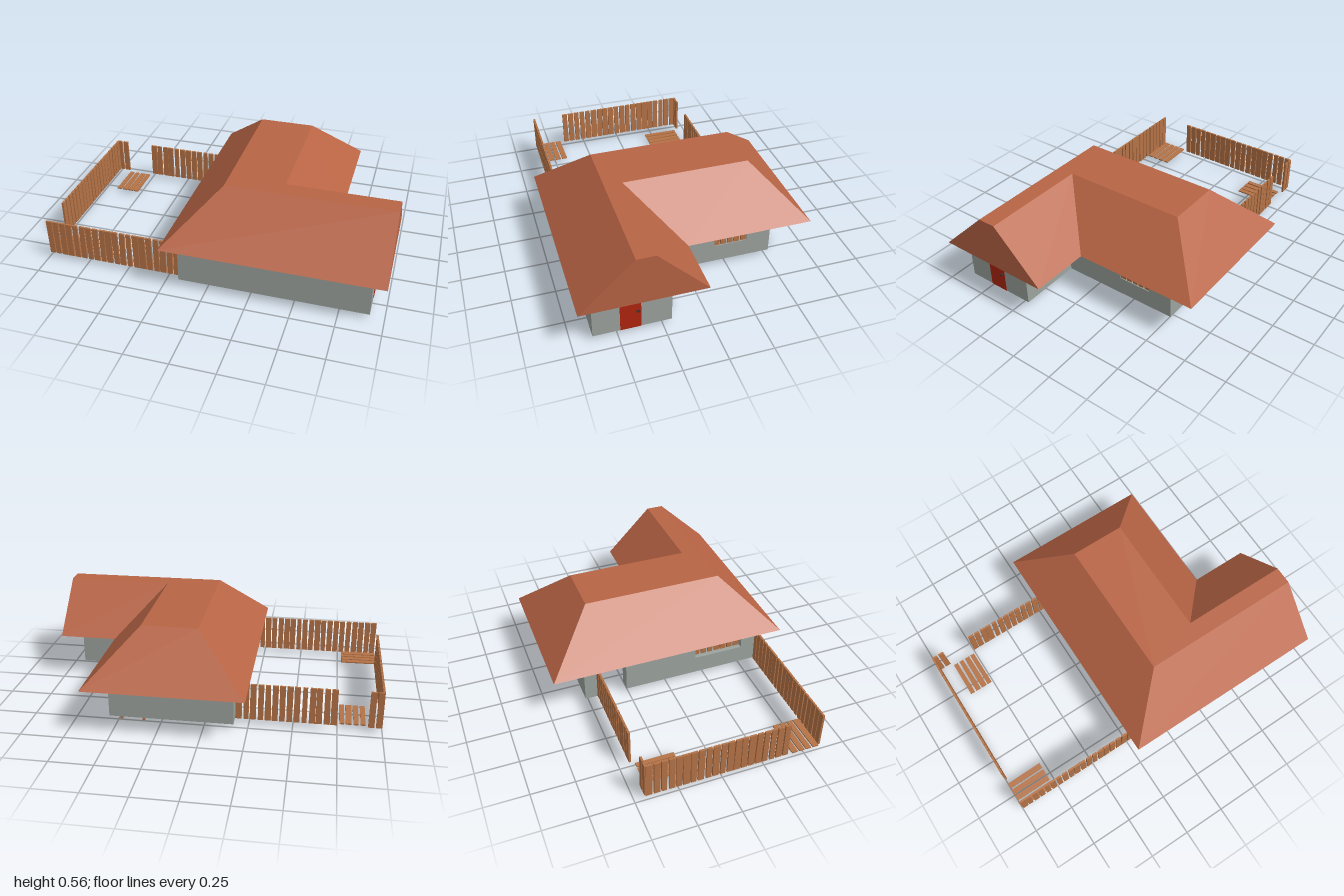
import * as THREE from 'three';

const paint = (color) => new THREE.MeshStandardMaterial({ color, flatShading: true, side: THREE.DoubleSide });
const wallMat = paint(0x9ca39e), roofMat = paint(0xb86444), woodMat = paint(0xb57346);
const doorMat = paint(0xb02510), darkMat = paint(0x333333);

const BASE = 0.03, WALL_TOP = 0.35, THICK = 0.07;

let seed = 7;
const rand = () => (seed = (seed * 16807) % 2147483647) / 2147483647;

const outline = (pts) => pts.map(([x, y]) => new THREE.Vector2(x, y));
const rect = (u0, y0, u1, y1) => outline([[u0, y0], [u1, y0], [u1, y1], [u0, y1]]);

function addMesh(parent, name, geometry, material) {
  const mesh = new THREE.Mesh(geometry, material);
  mesh.name = name;
  parent.add(mesh);
  return mesh;
}

function addBox(parent, name, size, pos, material) {
  const mesh = addMesh(parent, name, new THREE.BoxGeometry(...size), material);
  mesh.position.set(...pos);
  return mesh;
}

// Wall from u0 to u1; openings are [u0, y0, u1, y1], those at the base become doorways
function addWall(parent, name, u0, u1, openings = []) {
  const edge = [[u0, BASE]], holes = [];
  for (const [a, y0, b, y1] of openings) {
    if (y0 > BASE) holes.push(new THREE.Path(rect(a, y0, b, y1)));
    else edge.push([a, BASE], [a, y1], [b, y1], [b, BASE]);
  }
  edge.push([u1, BASE], [u1, WALL_TOP], [u0, WALL_TOP]);
  const shape = new THREE.Shape(outline(edge));
  shape.holes = holes;
  return addMesh(parent, name, new THREE.ExtrudeGeometry(shape, { depth: THICK, bevelEnabled: false }), wallMat);
}

// Row of crooked, uneven planks along local x, standing on local y = 0
function planks(name, length, height, count, depth = 0.012) {
  const group = new THREE.Group();
  group.name = name;
  const pitch = length / count;
  for (let i = 0; i < count; i++) {
    const inset = () => pitch * (0.01 + 0.17 * rand());
    const l = i * pitch, r = l + pitch;
    const shape = new THREE.Shape(outline([
      [l + inset(), 0], [r - inset(), 0], [r - inset(), height], [l + inset(), height],
    ]));
    addMesh(group, 'plank', new THREE.ExtrudeGeometry(shape, { depth, bevelEnabled: false }), woodMat);
  }
  return group;
}

function place(parent, object, pos, rot = [0, 0, 0]) {
  object.position.set(...pos);
  object.rotation.set(...rot);
  parent.add(object);
}

// Hipped L-shaped roof shell with a flat ridge and one gable end
function roofGeometry() {
  const E = 0.275, T = 0.565;
  const p = {
    a: [-0.255, E, 0.718], b: [1, E, 0.718], c: [1, T, 0.415], d: [1, T, 0.31],
    e: [1, E, 0.02], f: [0.655, E, 0.02], g: [0.655, E, -0.718], h: [-0.255, E, -0.718],
    i: [0.04, T, 0.415], j: [0.04, T, -0.43], k: [0.365, T, -0.43], l: [0.365, T, 0.31],
  };
  const quads = ['abci', 'haij', 'ghjk', 'fgkl', 'efld', 'icdl', 'ilkj', 'bedc'];
  const pos = quads.flatMap((q) => [0, 1, 2, 0, 2, 3].flatMap((n) => p[q[n]]));
  const geo = new THREE.BufferGeometry();
  geo.setAttribute('position', new THREE.Float32BufferAttribute(pos, 3));
  geo.computeVertexNormals();
  return geo;
}

export function createModel() {
  seed = 7;
  const model = new THREE.Group();
  model.name = 'house';
  const quarter = Math.PI / 2;

  // Walls running along x
  const walls = new THREE.Group();
  walls.name = 'walls';
  model.add(walls);
  addWall(walls, 'frontWall', -0.17, 0.92).position.z = 0.635 - THICK;
  addWall(walls, 'wingBackWall', 0.55 - THICK, 0.92).position.z = 0.2;
  addWall(walls, 'backWall', -0.17, 0.55).position.z = -0.52;

  // Walls running along z, with windows and doorways
  const sideWalls = [
    ['rightMainWall', -0.45, 0.2, 0.55, [[-0.375, 0.14, -0.175, 0.3]]],
    ['wingEndWall', 0.27, 0.565, 0.92, [[0.37, BASE, 0.485, 0.255]]],
    ['leftWall', -0.45, 0.565, -0.17 + THICK, [[-0.42, BASE, -0.26, 0.24], [0.19, 0.14, 0.5, 0.3]]],
  ];
  for (const [name, z0, z1, x, openings] of sideWalls) {
    const wall = addWall(walls, name, z0, z1, openings);
    wall.rotation.y = -quarter;
    wall.position.x = x;
  }

  addMesh(model, 'roof', roofGeometry(), roofMat);

  // Door with handle
  addBox(model, 'door', [0.03, 0.225, 0.115], [0.907, 0.1425, 0.4275], doorMat);
  addBox(model, 'doorHandle', [0.012, 0.007, 0.016], [0.928, 0.147, 0.387], darkMat);

  // Boarded windows
  place(model, planks('rightWindowBoards', 0.2, 0.16, 5), [0.545, 0.14, -0.375], [0, -quarter, 0]);
  place(model, planks('leftWindowBoards', 0.31, 0.16, 7), [-0.13, 0.14, 0.19], [0, -quarter, 0]);

  // Yard fence
  place(model, planks('frontFence', 0.83, 0.22, 20), [-1, BASE, 0.588]);
  place(model, planks('backFence', 0.58, 0.22, 14), [-0.75, BASE, -0.446]);
  place(model, planks('backFenceCorner', 0.08, 0.22, 2), [-1, BASE, -0.446]);
  place(model, planks('leftFence', 0.84, 0.22, 20), [-0.988, BASE, -0.44], [0, -quarter, 0]);

  // Gates lying on the ground
  place(model, planks('backGate', 0.16, 0.225, 4, 0.008), [-0.915, 0.022, -0.19], [-quarter, 0, 0]);
  place(model, planks('sideGate', 0.172, 0.225, 4, 0.008), [-0.775, 0.026, 0.59], [-quarter, 0, quarter]);

  // Table inside the house
  const table = new THREE.Group();
  table.name = 'table';
  model.add(table);
  addBox(table, 'tableTop', [0.17, 0.012, 0.14], [0.42, 0.096, -0.432], woodMat);
  for (const x of [0.355, 0.485]) {
    for (const z of [-0.38, -0.485]) addBox(table, 'tableLeg', [0.016, 0.09, 0.016], [x, 0.045, z], woodMat);
  }

  return model;
}
